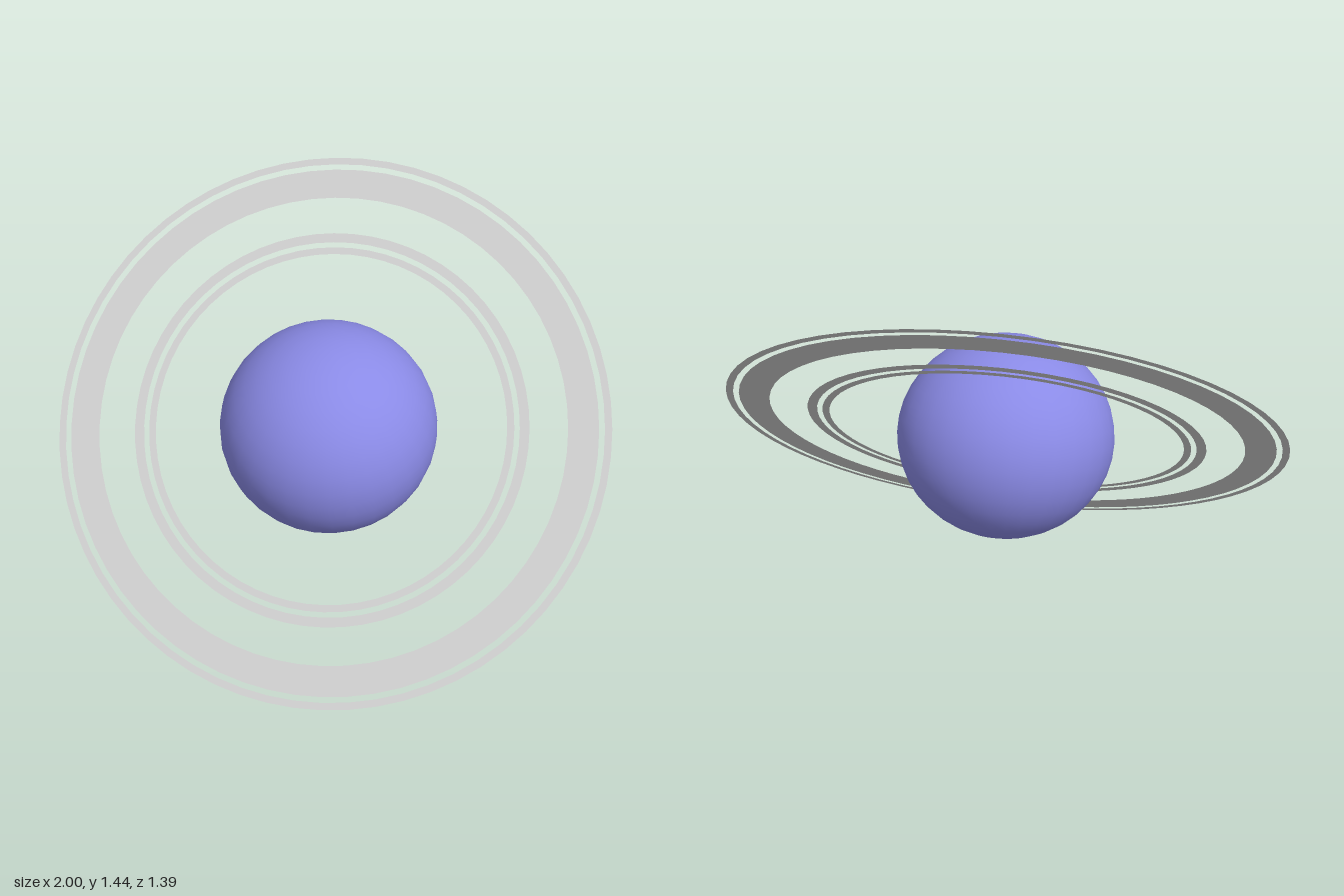
import * as THREE from 'three';

const CENTER_Y = 0.717;

export function createModel() {
  const model = new THREE.Group();

  // Planet: slightly flattened globe with a tilted pole
  const planet = new THREE.Mesh(
    new THREE.SphereGeometry(0.39, 32, 20),
    new THREE.MeshStandardMaterial({ color: 0x8a8ae6 })
  );
  planet.name = 'planet';
  planet.scale.y = 0.945;
  planet.rotation.x = 0.32;
  planet.position.y = CENTER_Y + 0.003;
  model.add(planet);

  // Flat concentric rings sharing one tilted plane: [name, inner radius, outer radius]
  const rings = new THREE.Group();
  rings.name = 'rings';
  rings.rotation.x = -0.77;
  rings.position.y = CENTER_Y;
  const ringMaterial = new THREE.MeshStandardMaterial({ color: 0xcccccc, side: THREE.DoubleSide });
  const bands = [
    ['innermostRing', 0.636, 0.661],
    ['innerRing', 0.68, 0.714],
    ['broadRing', 0.848, 0.955],
    ['outerRing', 0.975, 1.0],
  ];
  for (const [name, inner, outer] of bands) {
    const ring = new THREE.Mesh(new THREE.RingGeometry(inner, outer, 64), ringMaterial);
    ring.name = name;
    rings.add(ring);
  }
  model.add(rings);

  return model;
}
